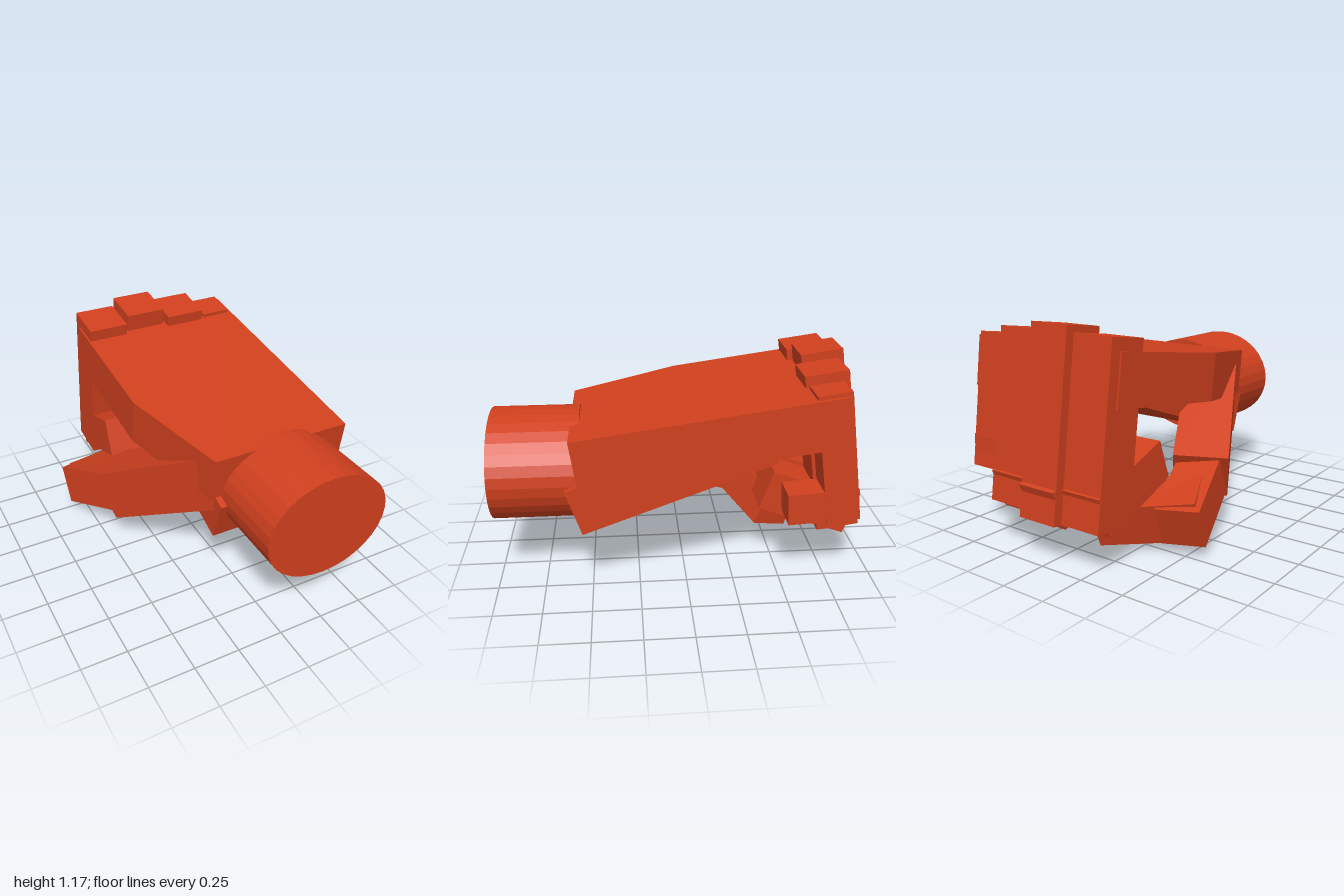
import * as THREE from 'three';

const material = new THREE.MeshStandardMaterial({ color: 0xd0401e, flatShading: true });
const vec = (a) => new THREE.Vector3(...a);

// Direction pairs of the tilted back of the hand
const BACK = [0, 0.138, -0.99];
const DOWN = [0, -0.99, -0.138];

function addMesh(parent, name, geometry) {
  const mesh = new THREE.Mesh(geometry, material);
  mesh.name = name;
  parent.add(mesh);
  return mesh;
}

// Box given by one corner and its three edges (direction, length)
function block(parent, name, corner, edges) {
  const e = edges.map(([dir, length]) => vec(dir).normalize().multiplyScalar(length));
  if (e[0].clone().cross(e[1]).dot(e[2]) < 0) e.reverse();
  const geometry = new THREE.BoxGeometry(1, 1, 1).translate(0.5, 0.5, 0.5);
  const matrix = new THREE.Matrix4().makeBasis(...e).setPosition(vec(corner));
  return addMesh(parent, name, geometry.applyMatrix4(matrix));
}

export function createModel() {
  const hand = new THREE.Group();
  hand.name = 'fist';

  // Oval wrist
  const wrist = new THREE.CylinderGeometry(1, 1, 0.46, 32).rotateX(Math.PI / 2);
  wrist.scale(0.345, 0.287, 1).translate(0.228, 0.62, 0.77);
  addMesh(hand, 'wrist', wrist);

  // Back of the hand: slab with one slanted corner, rising toward the knuckles
  const outline = new THREE.Shape([
    [-0.17, 0], [0.608, 0], [0.608, 1.39], [-0.345, 1.39], [-0.345, 0.59],
  ].map(([x, y]) => new THREE.Vector2(x, y)));
  const slab = new THREE.ExtrudeGeometry(outline, { depth: 0.264, bevelEnabled: false });
  const tilt = new THREE.Matrix4().makeBasis(vec([1, 0, 0]), vec(BACK), vec([0, 0.99, 0.138]));
  addMesh(hand, 'handBack', slab.applyMatrix4(tilt.setPosition(0, 0.61, 0.55)));

  // Heel of the palm
  block(hand, 'palm', [-0.15, 0.365, 0.537], [
    [[1, 0, 0], 0.754], [[0, 0.36, -0.985], 1.05], [[0, 0.24, 0.08], 0.253],
  ]);

  // Fingers: upright part from the knuckle, and a curled tip pointing to the palm
  const fingers = [
    { name: 'indexFinger', x: -0.335, w: 0.23, y: 1.105, z: -0.615, t: 0.23, length: 0.91,
      tip: { y: 0.365, z: -0.41, slope: -0.36, length: 0.5, t: 0.223 } },
    { name: 'middleFinger', x: -0.085, w: 0.23, y: 1.143, z: -0.638, t: 0.23, length: 0.957,
      tip: { y: 0.36, z: -0.46, slope: -0.38, length: 0.487, t: 0.223 } },
    { name: 'ringFinger', x: 0.163, w: 0.228, y: 1.1, z: -0.605, t: 0.23, length: 0.89,
      tip: { y: 0.365, z: -0.4, slope: -0.36, length: 0.5, t: 0.223 } },
    { name: 'littleFinger', x: 0.413, w: 0.173, y: 1.06, z: -0.625, t: 0.175, length: 0.705,
      tip: { y: 0.362, z: -0.52, slope: 0.06, length: 0.37, t: 0.17 } },
  ];
  for (const f of fingers) {
    const finger = new THREE.Group();
    finger.name = f.name;
    hand.add(finger);
    block(finger, 'fingerBase', [f.x, f.y, f.z], [
      [[1, 0, 0], f.w], [BACK, f.t], [DOWN, f.length],
    ]);
    const inset = 0.002;
    block(finger, 'fingerTip', [f.x + inset, f.tip.y, f.tip.z], [
      [[1, 0, 0], f.w - 2 * inset],
      [[0, f.tip.slope, -1], f.tip.length],
      [[0, 1, f.tip.slope], f.tip.t],
    ]);
  }

  // Thumb: three boxes, out from the palm, back, then across under the fingers
  const thumb = new THREE.Group();
  thumb.name = 'thumb';
  hand.add(thumb);
  block(thumb, 'thumbRoot', [-0.465, 0.185, -0.05], [
    [[0.416, 0.468, 0.78], 0.8], [[-0.257, 0.873, -0.411], 0.292], [[0.873, 0.029, -0.483], 0.29],
  ]);
  block(thumb, 'thumbMiddle', [-0.6, 0.07, -0.47], [
    [[0.28, 0.356, 0.89], 0.45], [[-0.044, 0.934, -0.356], 0.225], [[0.958, -0.06, -0.277], 0.23],
  ]);
  block(thumb, 'thumbTip', [0.02, 0.07, -0.45], [
    [[-0.92, 0.152, 0.365], 0.55], [[0.02, 0.94, -0.342], 0.234], [[-0.395, -0.285, -0.877], 0.228],
  ]);

  return hand;
}
